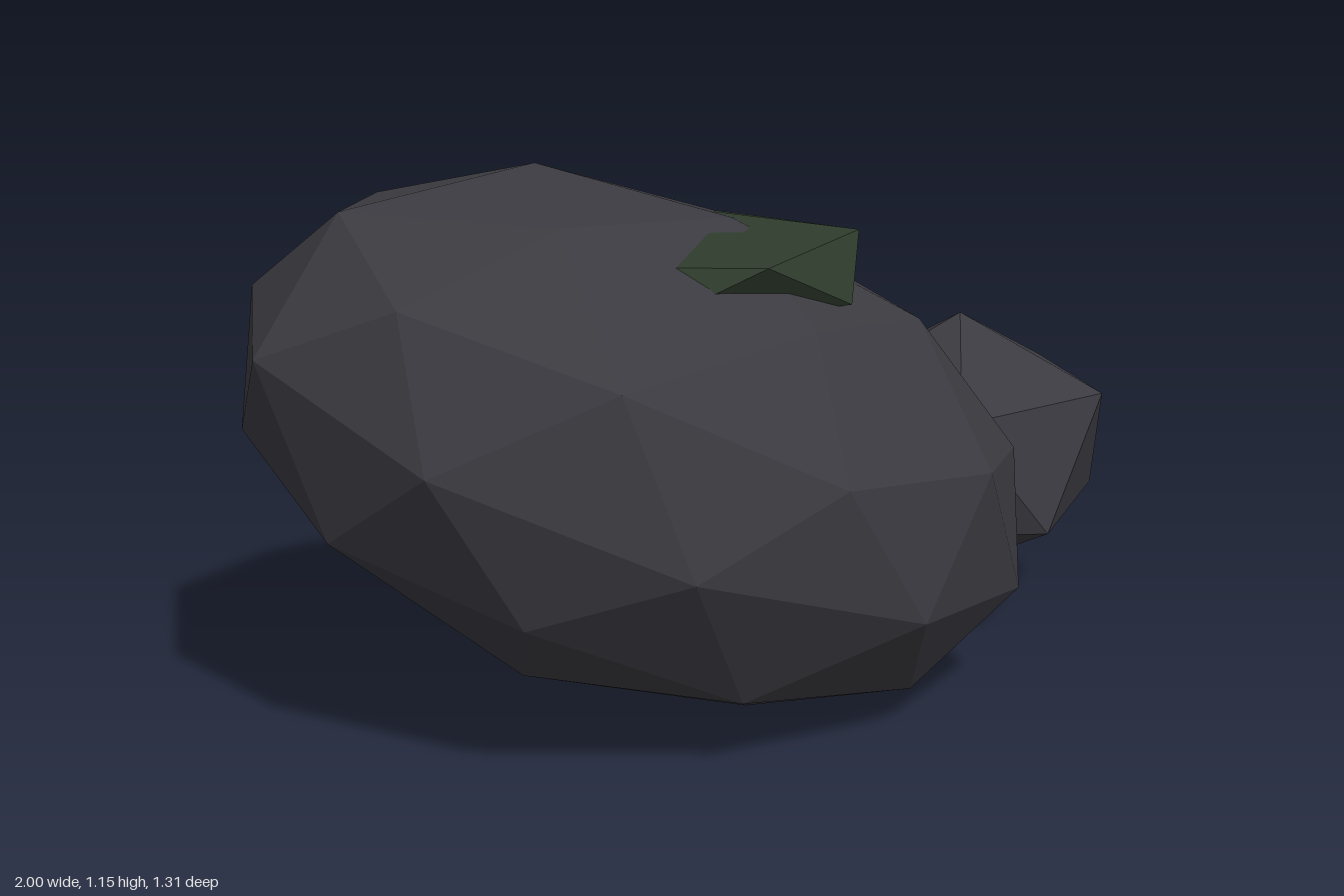
import * as THREE from 'three';

const stone = new THREE.MeshStandardMaterial({ color: 0x3a3a40 });
stone.name = 'dark stone';
const moss = new THREE.MeshStandardMaterial({ color: 0x2d3a2a });
moss.name = 'dark moss';

// Faceted unit ball with a corner pointing up, stretched along three axes and placed at a centre
function boulder(name, material, detail, xAxis, yAxis, zAxis, centre) {
  const geometry = new THREE.IcosahedronGeometry(1, detail);
  geometry.rotateZ(-Math.atan(2 / (1 + Math.sqrt(5))));
  const shape = new THREE.Matrix4().makeBasis(
    new THREE.Vector3(...xAxis),
    new THREE.Vector3(...yAxis),
    new THREE.Vector3(...zAxis)
  );
  shape.setPosition(...centre);
  geometry.applyMatrix4(shape);
  geometry.computeVertexNormals(); // unshared corners give flat facets
  const mesh = new THREE.Mesh(geometry, material);
  mesh.name = name;
  return mesh;
}

export function createModel() {
  const group = new THREE.Group();
  group.name = 'mossyRocks';
  group.add(
    // Large tilted boulder
    boulder('largeRock', stone, 1,
      [0.835, -0.313, 0.002], [0.176, 0.481, 0.085], [-0.035, -0.105, 0.655],
      [-0.175, 0.575, 0]),
    // Small rock leaning on its left side
    boulder('smallRock', stone, 0,
      [-0.403, 0, 0.056], [0, 0.31, 0], [0, 0, -0.38],
      [0.64, 0.43, -0.3]),
    // Flat moss patch, mostly sunk into the large boulder
    boulder('mossPatch', moss, 0,
      [0.475, 0, 0], [0, 0.125, 0], [0, 0, 0.418],
      [-0.125, 0.947, 0])
  );
  return group;
}
